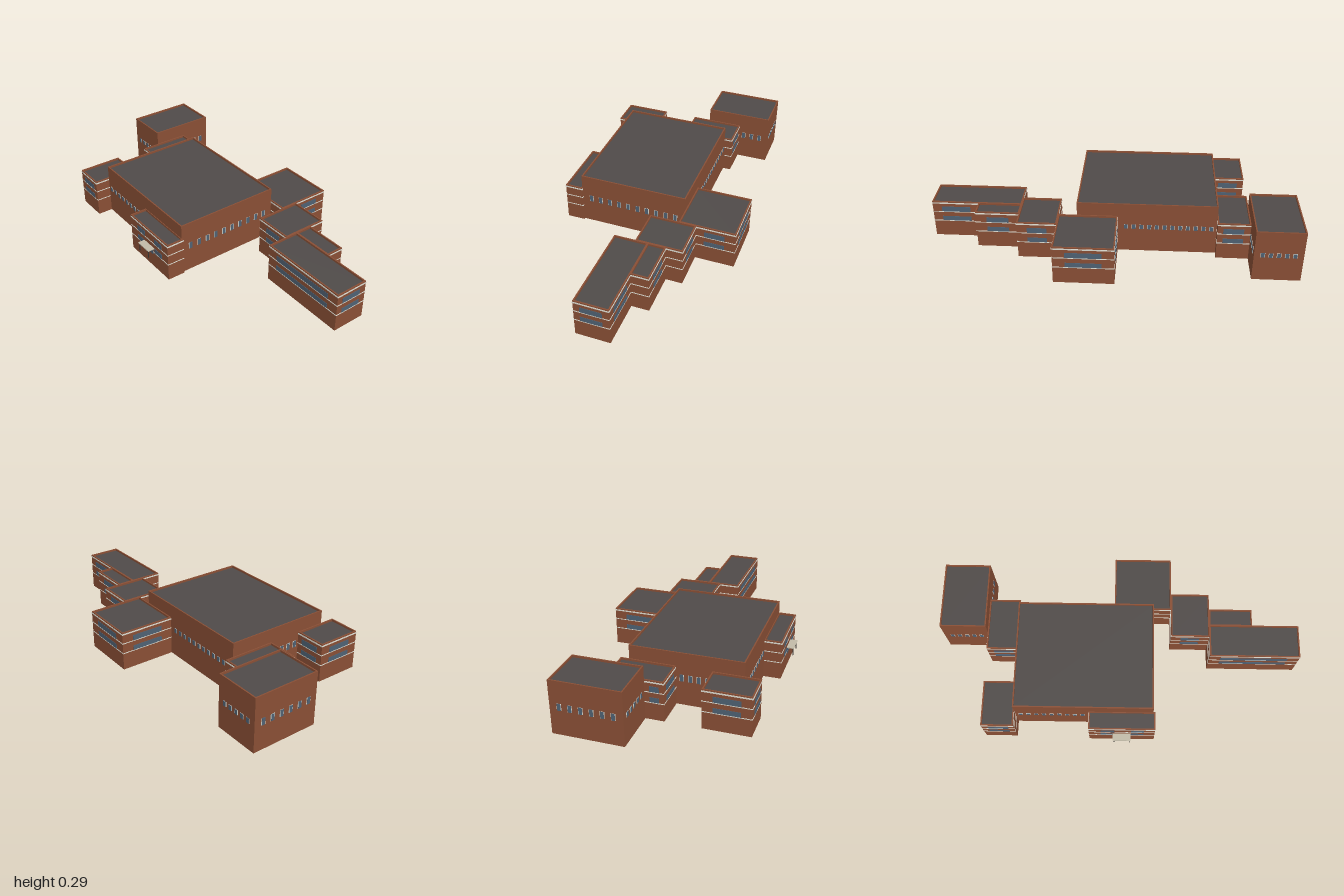
import * as THREE from 'three';

const mat = (name, color, extra = {}) => Object.assign(new THREE.MeshStandardMaterial({ color, ...extra }), { name });

export function createModel() {
  const brick = mat('brick', 0x8a4f35);
  const roofing = mat('roofing', 0x504b49, { side: THREE.DoubleSide });
  const glass = mat('glass', 0x4f6274);
  const trim = mat('trim', 0xdcdcd2);
  const concrete = mat('concrete', 0xc2bba8);
  const metal = mat('metal', 0x3a3634);
  const model = new THREE.Group();

  const add = (parent, name, geometry, material, x = 0, y = 0, z = 0) => {
    const mesh = new THREE.Mesh(geometry, material);
    mesh.name = name;
    mesh.position.set(x, y, z);
    parent.add(mesh);
    return mesh;
  };

  // Rectangular ring standing on y, used for walls and trim courses
  const ring = ([x0, x1, z0, z1], y, height, grow, thick) => {
    const rect = (Type, d) => new Type([
      new THREE.Vector2(x0 - d, -z1 - d), new THREE.Vector2(x1 + d, -z1 - d),
      new THREE.Vector2(x1 + d, -z0 + d), new THREE.Vector2(x0 - d, -z0 + d)]);
    const shape = rect(THREE.Shape, grow);
    shape.holes.push(rect(THREE.Path, grow - thick));
    const g = new THREE.ExtrudeGeometry(shape, { depth: height, bevelEnabled: false });
    return g.rotateX(-Math.PI / 2).translate(0, y, 0);
  };

  // Thin plate on one side of a block, spanning a..b along that side
  const plate = (parent, name, [x0, x1, z0, z1], side, a, b, y0, y1, material, depth = 0.004) => {
    const mid = (a + b) / 2, y = (y0 + y1) / 2, alongX = side === 'front' || side === 'back';
    const at = { front: z1, back: z0, left: x1, right: x0 }[side];
    const geometry = alongX ? new THREE.BoxGeometry(b - a, y1 - y0, depth) : new THREE.BoxGeometry(depth, y1 - y0, b - a);
    add(parent, name, geometry, material, alongX ? mid : at, y, alongX ? at : mid);
  };

  // Open-bottomed brick shell with a roof sunk behind a parapet
  const block = (name, rect, height) => {
    const [x0, x1, z0, z1] = rect;
    const group = new THREE.Group();
    group.name = name;
    model.add(group);
    add(group, 'walls', ring(rect, 0, height, 0, 0.007), brick);
    const roof = new THREE.PlaneGeometry(x1 - x0 - 0.012, z1 - z0 - 0.012).rotateX(-Math.PI / 2);
    add(group, 'roof', roof, roofing, (x0 + x1) / 2, height - 0.011, (z0 + z1) / 2);
    return group;
  };

  // Tall blocks: rows of small framed windows, [side, first, last, count, height]
  const tall = [
    ['mainHall', [-0.57, 0.185, -0.215, 0.39], [
      ['front', -0.54, -0.2, 9, 0.026], ['back', -0.54, -0.08, 12, 0.026],
      ['left', -0.16, 0.335, 10, 0.037], ['right', 0.065, 0.2, 4, 0.037]]],
    ['tower', [-1, -0.745, -0.44, -0.065], [
      ['front', -0.955, -0.79, 5, 0.026], ['back', -0.955, -0.79, 5, 0.026],
      ['right', -0.39, -0.115, 6, 0.037], ['left', -0.39, -0.29, 3, 0.037]]],
  ];
  for (const [name, rect, rows] of tall) {
    const group = block(name, rect, 0.295);
    for (const [side, first, last, count, h] of rows) {
      for (let i = 0; i < count; i++) {
        const c = first + (last - first) * i / (count - 1), y0 = 0.155 - h / 2, y1 = 0.155 + h / 2;
        plate(group, 'windowFrame', rect, side, c - 0.0115, c + 0.0115, y0, y1, trim, 0.004);
        plate(group, 'windowPane', rect, side, c - 0.009, c + 0.009, y0, y1, glass, 0.007);
      }
    }
  }

  // Low blocks: two storeys of ribbon windows over trim courses, [side, from, to]
  const low = [
    ['frontEntrance', [-0.165, 0.195, 0.387, 0.485], [['front', -0.1, -0.025], ['front', 0.065, 0.135]]],
    ['frontCornerWing', [-0.745, -0.57, 0.225, 0.475], [
      ['front', -0.71, -0.6], ['back', -0.71, -0.6], ['right', 0.28, 0.42]]],
    ['towerLink', [-0.745, -0.57, -0.26, 0.035], [
      ['front', -0.71, -0.6], ['back', -0.71, -0.6], ['right', -0.04, 0.01]]],
    ['rearWing', [-0.035, 0.285, -0.525, -0.215], [
      ['back', 0.03, 0.22], ['left', -0.466, -0.354], ['right', -0.46, -0.28]]],
    ['middleWing', [0.285, 0.5, -0.31, -0.055], [['front', 0.34, 0.445], ['back', 0.34, 0.445]]],
    ['smallWing', [0.5, 0.74, -0.22, -0.122], [['back', 0.56, 0.68]]],
    ['endWing', [0.5, 1, -0.125, 0.06], [
      ['front', 0.56, 0.935], ['back', 0.79, 0.95], ['left', -0.088, 0.027]]],
  ];
  for (const [name, rect, bands] of low) {
    const group = block(name, rect, 0.22);
    for (const [y, h] of [[0.095, 0.004], [0.153, 0.004], [0.206, 0.007]]) {
      add(group, 'trimCourse', ring(rect, y, h, 0.002, 0.005), trim);
    }
    for (const [side, a, b] of bands) {
      plate(group, 'lowerWindow', rect, side, a, b, 0.099, 0.126, glass, 0.003);
      plate(group, 'upperWindow', rect, side, a, b, 0.157, 0.188, glass, 0.003);
    }
  }

  // Entrance glazing and canopy
  const canopy = new THREE.Group();
  canopy.name = 'entranceCanopy';
  model.add(canopy);
  plate(canopy, 'entranceGlass', low[0][1], 'front', -0.022, 0.052, 0.082, 0.119, glass, 0.006);
  add(canopy, 'canopySlab', new THREE.BoxGeometry(0.1, 0.005, 0.04), concrete, 0.015, 0.1235, 0.505);
  for (const x of [-0.027, 0.057]) {
    add(canopy, 'canopyPost', new THREE.BoxGeometry(0.004, 0.044, 0.004), metal, x, 0.099, 0.52);
  }
  return model;
}
